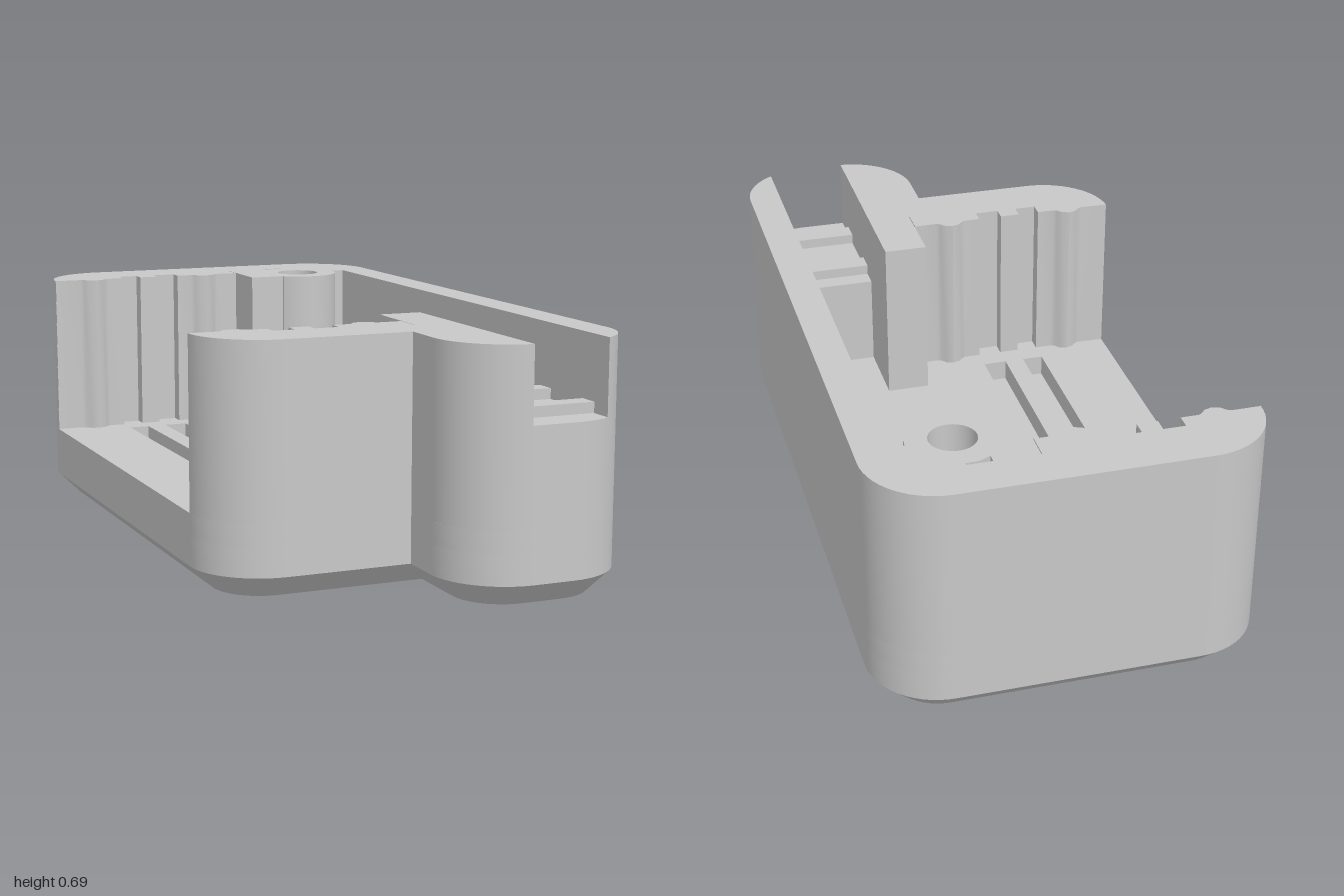
import * as THREE from 'three';
import { mergeGeometries, toCreasedNormals } from 'three/addons/utils/BufferGeometryUtils.js';

const W = 0.5375, R = 0.2, C = W - R;      // half width, corner radius, corner centre
const CHAMFER = 0.065, GROOVE = 0.15, FLOOR = 0.212, CHANNEL = 0.485, TOP = 0.695;
const PI = Math.PI;

// Plan points are [x, z]
function arc(cx, cz, r, a0, a1, n = 14) {
  return Array.from({ length: n + 1 }, (_, i) => {
    const a = a0 + (a1 - a0) * i / n;
    return [cx + r * Math.cos(a), cz + r * Math.sin(a)];
  });
}

const toPath = pts => pts.map(([x, z]) => new THREE.Vector2(x, -z));

// Extrude a plan upwards from y0 to y1; hole corners run against the outline
function slab(pts, y0, y1, holes = []) {
  const shape = new THREE.Shape(toPath(pts));
  holes.forEach(h => {
    const path = toPath(h);
    if (THREE.ShapeUtils.isClockWise(path)) path.reverse();
    shape.holes.push(new THREE.Path(path));
  });
  const geo = new THREE.ExtrudeGeometry(shape, { depth: y1 - y0, bevelEnabled: false });
  geo.rotateX(-PI / 2).translate(0, y0, 0);
  return toCreasedNormals(geo, 0.6);
}

const rect = (x0, x1, z0, z1) => [[x0, z0], [x1, z0], [x1, z1], [x0, z1]];

// Outer plan, optionally inset for the chamfer
function outline(inset = 0) {
  const r = R - inset;
  return [
    ...arc(-C, -0.8, r, PI, 1.5 * PI),
    ...arc(C, -0.8, r, 1.5 * PI, 2 * PI),
    ...arc(C, 0.8, r, 0, PI / 2),
    ...arc(0.22, 0.8, r, PI / 2, PI),
    [0.02 + inset, 0.68 - inset],
    ...arc(-C, 0.48, r, PI / 2, PI),
  ];
}

// Chamfered underside: sloping skirt closed by a flat bottom
function chamferBase() {
  const low = outline(CHAMFER), high = outline();
  const pos = [];
  low.forEach(([ax, az], i) => {
    const j = (i + 1) % low.length;
    const a0 = [ax, 0, az], b0 = [low[j][0], 0, low[j][1]];
    const a1 = [high[i][0], CHAMFER, high[i][1]], b1 = [high[j][0], CHAMFER, high[j][1]];
    pos.push(...b0, ...a0, ...a1, ...b0, ...a1, ...b1);
  });
  const skirt = new THREE.BufferGeometry();
  skirt.setAttribute('position', new THREE.Float32BufferAttribute(pos, 3));
  skirt.computeVertexNormals();
  const bottom = new THREE.ShapeGeometry(new THREE.Shape(low.map(([x, z]) => new THREE.Vector2(x, z))));
  bottom.rotateX(PI / 2).deleteAttribute('uv');
  return mergeGeometries([toCreasedNormals(skirt, 0.6), bottom.toNonIndexed()]);
}

// Ribbed end face from left to right; dir points into the solid
function ribbedEdge(z, dir) {
  const rib = cx => [[-0.045, 0], [-0.034, -0.006], [-0.022, -0.02], [0, -0.027],
    [0.022, -0.02], [0.034, -0.006], [0.045, 0]].map(([x, d]) => [cx + x, z + dir * d]);
  const groove = (x0, x1) => [[x0, 0], [x0, 0.042], [x1, 0.042], [x1, 0]]
    .map(([x, d]) => [x, z + dir * d]);
  return [[-W, z], ...rib(-0.41), ...groove(-0.315, -0.253), ...groove(-0.195, -0.125),
    ...rib(-0.033), [0.08, z], [0.08, z + dir * 0.075], [0.082, z + dir * 0.075]];
}

export function createModel() {
  const group = new THREE.Group();
  const grey = new THREE.MeshStandardMaterial({ color: 0xc8c8c8 });
  grey.name = 'lightGrey';
  const add = (name, geo) => {
    const mesh = new THREE.Mesh(geo, grey);
    mesh.name = name;
    group.add(mesh);
  };

  // Base and floor with two long grooves
  add('chamferedBase', chamferBase());
  add('solidBase', slab(outline(), CHAMFER, GROOVE));
  add('groovedFloor', slab(outline(), GROOVE, FLOOR, [
    rect(-0.315, -0.253, -0.74, 0.418),
    rect(-0.195, -0.125, -0.74, 0.418),
  ]));

  // Front left wall with divider beside the channel
  const leftEnd = Math.acos((0.207 - 0.22) / R);
  add('frontLeftWall', slab([
    ...arc(-C, 0.48, R, PI, PI / 2),
    [0.02, 0.68],
    ...arc(0.22, 0.8, R, PI, leftEnd),
    [0.207, 0.334], [0.082, 0.334],
    ...ribbedEdge(0.482, 1).reverse().slice(0, -1),
  ], FLOOR, TOP));

  // Back wall, screw boss and right wall in one sweep
  const rightStart = Math.acos((0.443 - C) / R);
  add('backAndRightWall', slab([
    ...ribbedEdge(-0.803, -1),
    [0.082, -0.658], [0.19, -0.658],
    ...arc(0.277, -0.744, 0.126, 0.74 * PI, 0),
    [0.403, -0.748], [0.443, -0.748],
    ...arc(C, 0.8, R, rightStart, 0),
    ...arc(C, -0.8, R, 0, -PI / 2),
    ...arc(-C, -0.8, R, -PI / 2, -PI),
  ], FLOOR, TOP, [
    arc(0.277, -0.744, 0.065, 0, 2 * PI, 28).slice(0, -1),
    [[0.207, -0.878], [0.277, -0.878], [0.277, -0.87], [0.24, -0.868], [0.207, -0.853]],
  ]));

  // Cable channel with two grip ridges
  add('channelFloor', slab([
    [0.207, 0.557], [0.443, 0.557],
    ...arc(C, 0.8, R, rightStart, PI / 2),
    ...arc(0.22, 0.8, R, PI / 2, leftEnd, 3),
  ], FLOOR, CHANNEL));
  for (const z of [0.612, 0.842]) {
    add('gripRidge', slab(rect(0.207, 0.443, z, z + 0.06), CHANNEL, CHANNEL + 0.03));
  }
  return group;
}
